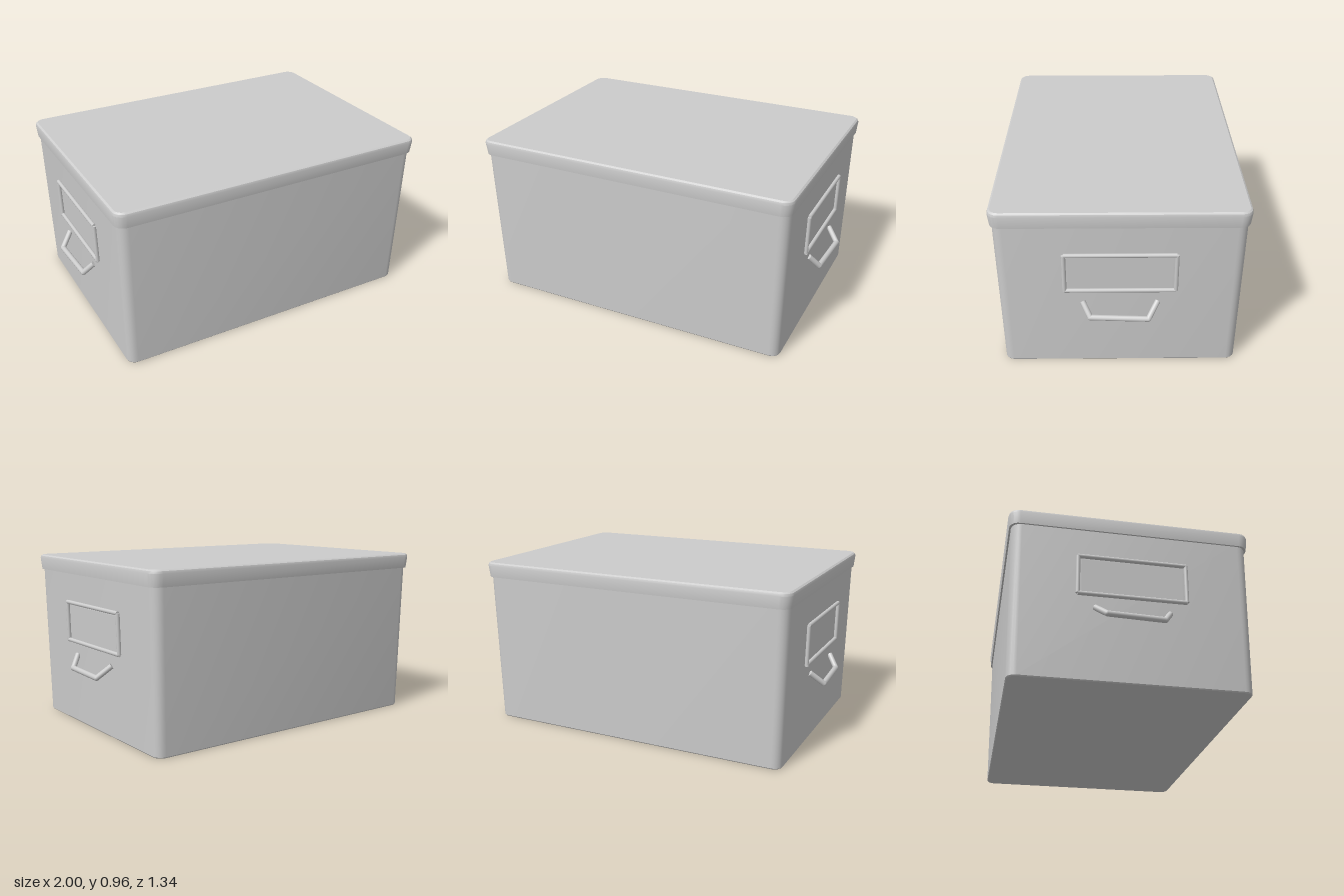
import * as THREE from 'three';
import { toCreasedNormals } from 'three/addons/utils/BufferGeometryUtils.js';

const CORNER_STEPS = 5;

// Closed loft through rounded rectangles, each given as [y, halfX, halfZ, radius]
function roundedLoft(sections) {
  const pos = [], idx = [];
  const n = 4 * (CORNER_STEPS + 1);
  for (const [y, hx, hz, r] of sections) {
    for (let c = 0; c < 4; c++) {
      const sx = c === 0 || c === 3 ? 1 : -1;
      const sz = c < 2 ? 1 : -1;
      for (let i = 0; i <= CORNER_STEPS; i++) {
        const a = (c + i / CORNER_STEPS) * Math.PI / 2;
        pos.push(sx * (hx - r) + r * Math.cos(a), y, sz * (hz - r) + r * Math.sin(a));
      }
    }
  }
  for (let s = 0; s < sections.length - 1; s++) {
    for (let i = 0; i < n; i++) {
      const a = s * n + i, b = s * n + (i + 1) % n;
      idx.push(a, a + n, b, b, a + n, b + n);
    }
  }
  // End caps
  const last = (sections.length - 1) * n;
  for (let i = 1; i < n - 1; i++) {
    idx.push(0, i, i + 1);
    idx.push(last, last + i + 1, last + i);
  }
  const geo = new THREE.BufferGeometry();
  geo.setAttribute('position', new THREE.Float32BufferAttribute(pos, 3));
  geo.setIndex(idx);
  return toCreasedNormals(geo, 0.45);
}

export function createModel() {
  const model = new THREE.Group();
  model.name = 'storageBox';
  const grey = new THREE.MeshStandardMaterial({ color: 0xcccccc });
  grey.name = 'lightGrey';

  function add(parent, geo, name) {
    const mesh = new THREE.Mesh(geo, grey);
    mesh.name = name;
    parent.add(mesh);
    return mesh;
  }

  // Round bar between two points
  function bar(parent, a, b, radius, name) {
    const dir = b.clone().sub(a);
    const mesh = add(parent, new THREE.CylinderGeometry(radius, radius, dir.length(), 12), name);
    mesh.position.copy(a).add(b).multiplyScalar(0.5);
    mesh.quaternion.setFromUnitVectors(new THREE.Vector3(0, 1, 0), dir.normalize());
  }

  // Tapered body
  add(model, roundedLoft([
    [0, 0.9, 0.63, 0.045],
    [0.006, 0.905, 0.635, 0.05],
    [0.9, 0.922, 0.651, 0.055],
  ]), 'body');

  // Overhanging lid with a bevelled top edge
  add(model, roundedLoft([
    [0.876, 0.931, 0.66, 0.055],
    [0.943, 0.938, 0.668, 0.06],
    [0.956, 0.934, 0.664, 0.056],
    [0.963, 0.924, 0.654, 0.046],
  ]), 'lid');

  // Label holder and handle on each end
  for (const side of [1, -1]) {
    const end = new THREE.Group();
    end.name = side > 0 ? 'leftEndFittings' : 'rightEndFittings';
    model.add(end);
    const p = (x, y, z) => new THREE.Vector3(side * x, y, z);
    const wall = (y) => 0.905 + 0.019 * y;

    const yLow = 0.487, yHigh = 0.709, zEdge = 0.292, r = 0.0115;
    for (const y of [yLow, yHigh]) {
      const x = wall(y) + 0.008;
      bar(end, p(x, y, -zEdge), p(x, y, zEdge), r, 'labelFrameRail');
    }
    for (const z of [-zEdge, zEdge]) {
      bar(end, p(wall(yLow) + 0.008, yLow, z), p(wall(yHigh) + 0.008, yHigh, z), r, 'labelFramePost');
    }
    const label = add(end, new THREE.BoxGeometry(0.006, 0.19, 0.545), 'labelCard');
    label.position.set(side * wall(0.597), 0.597, 0);
    label.rotation.z = -side * 0.019;

    // Swung-out handle, slightly skewed
    const path = [
      p(0.917, 0.412, 0.199), p(0.969, 0.345, 0.158),
      p(0.984, 0.345, -0.148), p(0.917, 0.412, -0.199),
    ];
    for (let i = 0; i < 3; i++) bar(end, path[i], path[i + 1], 0.0155, 'handleBar');
    for (const q of path.slice(1, 3)) {
      add(end, new THREE.SphereGeometry(0.0155, 12, 8), 'handleBend').position.copy(q);
    }
  }
  return model;
}
